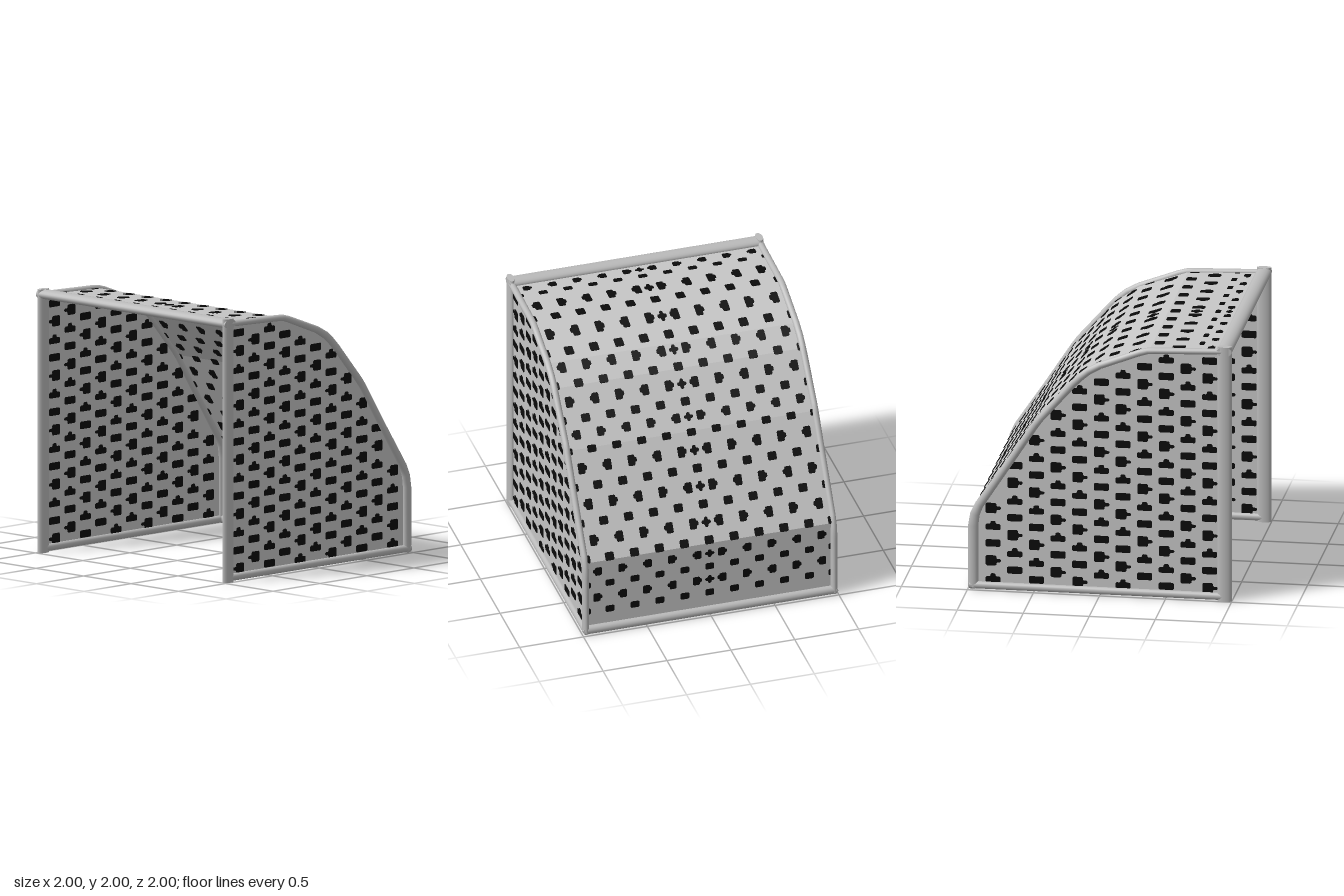
import * as THREE from 'three';
import { mergeGeometries } from 'three/addons/utils/BufferGeometryUtils.js';

// side outline of the net as [z, y], from the rear foot up to the crossbar
const PROFILE = [[-0.96, 0.04], [-0.96, 0.62], [-0.49, 1.33], [-0.17, 1.69], [0, 1.81], [0.37, 1.94], [0.94, 1.96]];
// centre line of the bent side tube as [z, y, radius], with softened bends
const TUBE = [[-0.96, 0.02, 0.039], [-0.96, 0.5, 0.039], [-0.947, 0.59, 0.037], [-0.915, 0.665, 0.034],
  [-0.7, 0.99, 0.03], [-0.49, 1.315, 0.029], [-0.45, 1.37, 0.029], [-0.2, 1.655, 0.029], [-0.15, 1.705, 0.029],
  [-0.09, 1.755, 0.029], [0, 1.806, 0.027], [0.3, 1.92, 0.025], [0.36, 1.938, 0.024], [0.42, 1.943, 0.024], [0.94, 1.96, 0.023]];

export function createModel() {
  const group = new THREE.Group();
  const frameMat = new THREE.MeshStandardMaterial({ color: 0xbababa });
  frameMat.name = 'frame grey';
  const netMat = new THREE.MeshStandardMaterial({ color: 0xc6c6c6, side: THREE.DoubleSide });
  netMat.name = 'net grey';
  const holeMat = new THREE.MeshStandardMaterial({ color: 0x0a0a0a });
  holeMat.name = 'mesh black';

  const add = (name, geo, mat) => {
    const mesh = new THREE.Mesh(geo, mat);
    mesh.name = name;
    group.add(mesh);
    return mesh;
  };

  // straight bar with an oval section; axis is 'x', 'y' or 'z'
  const bar = (name, axis, length, a, b, x, y, z) => {
    const geo = new THREE.CylinderGeometry(1, 1, length, 20).scale(a, 1, b);
    if (axis === 'x') geo.rotateZ(Math.PI / 2);
    if (axis === 'z') geo.rotateX(Math.PI / 2);
    add(name, geo.translate(x, y, z), frameMat);
  };

  // tapering tube swept along TUBE in the plane at x
  const sweep = (x) => {
    const n = 14, pos = [], idx = [];
    TUBE.forEach(([z, y, r], i) => {
      const p = TUBE[Math.max(i - 1, 0)], q = TUBE[Math.min(i + 1, TUBE.length - 1)];
      const t = new THREE.Vector2(q[0] - p[0], q[1] - p[1]).normalize();
      for (let j = 0; j < n; j++) {
        const a = (j / n) * Math.PI * 2, out = r * Math.sin(a);
        pos.push(x + 0.026 * Math.cos(a), y + t.x * out, z - t.y * out);
        if (i) {
          const k = (j + 1) % n, c = i * n, d = c - n;
          idx.push(d + j, c + j, d + k, c + j, c + k, d + k);
        }
      }
    });
    const geo = new THREE.BufferGeometry();
    geo.setAttribute('position', new THREE.Float32BufferAttribute(pos, 3));
    // ring runs +x to outward normal, so the faces are turned to look outwards
    for (let i = 0; i < idx.length; i += 3) [idx[i + 1], idx[i + 2]] = [idx[i + 2], idx[i + 1]];
    geo.setIndex(idx);
    geo.computeVertexNormals();
    return geo;
  };

  // frame
  bar('crossbar', 'x', 1.99, 0.037, 0.058, 0, 1.962, 0.942);
  bar('rearGroundBar', 'x', 1.97, 0.035, 0.035, 0, 0.035, -0.963);
  for (const s of [1, -1]) {
    const side = s > 0 ? 'left' : 'right';
    bar(side + 'FrontPost', 'y', 2, 0.0275, 0.055, s * 0.9725, 1, 0.945);
    bar(side + 'GroundRail', 'z', 1.93, 0.026, 0.028, s * 0.972, 0.034, -0.025);
    add(side + 'BentTube', sweep(s * 0.972), frameMat);
  }

  // side net panels
  const outline = new THREE.Shape([...PROFILE, [0.94, 0.04]].map(([z, y]) => new THREE.Vector2(z, y)));
  for (const s of [1, -1]) {
    add(s > 0 ? 'leftNet' : 'rightNet',
      new THREE.ShapeGeometry(outline).rotateY(-Math.PI / 2).translate(s * 0.968, 0, 0), netMat);
  }

  // back and roof net, one flat strip per profile segment
  const strips = [];
  const segs = [];
  let total = 0;
  for (let i = 1; i < PROFILE.length; i++) {
    const [z0, y0] = PROFILE[i - 1], [z1, y1] = PROFILE[i];
    const len = Math.hypot(z1 - z0, y1 - y0);
    const ty = (y1 - y0) / len, tz = (z1 - z0) / len;
    const basis = new THREE.Matrix4().makeBasis(
      new THREE.Vector3(1, 0, 0), new THREE.Vector3(0, ty, tz), new THREE.Vector3(0, -tz, ty));
    strips.push(new THREE.PlaneGeometry(1.93, len).applyMatrix4(
      basis.clone().setPosition(0, (y0 + y1) / 2, (z0 + z1) / 2)));
    segs.push({ start: total, end: total + len, z0, y0, ty, tz, basis });
    total += len;
  }
  add('backNet', mergeGeometries(strips), netMat);

  // thin plate with clipped corners, seen on both faces of the net
  const plate = (pts, su = 1, sv = 1) => {
    const p = pts.map(([u, v]) => new THREE.Vector2(u * su, v * sv));
    const out = [];
    p.forEach((c, i) => {
      for (const o of [p[(i + p.length - 1) % p.length], p[(i + 1) % p.length]]) {
        const d = o.clone().sub(c), l = d.length();
        out.push(c.clone().addScaledVector(d, Math.min(0.008, l * 0.3) / l));
      }
    });
    return new THREE.ExtrudeGeometry(new THREE.Shape(out), { depth: 0.008, bevelEnabled: false }).translate(0, 0, -0.004);
  };
  const rect = (w, h) => [[-w, -h], [w, -h], [w, h], [-w, h]];
  const block = [[-0.055, -0.04], [0.025, -0.04], [0.025, -0.012], [0.06, -0.012],
    [0.06, 0.012], [0.025, 0.012], [0.025, 0.04], [-0.055, 0.04]];
  const tee = [[-0.057, -0.033], [0.057, -0.033], [0.057, 0.012], [0.02, 0.012],
    [0.02, 0.036], [-0.02, 0.036], [-0.02, 0.012], [-0.057, 0.012]];
  const cross = [[-0.035, -0.012], [-0.013, -0.012], [-0.013, -0.033], [0.013, -0.033], [0.013, -0.012], [0.035, -0.012],
    [0.035, 0.012], [0.013, 0.012], [0.013, 0.033], [-0.013, 0.033], [-0.013, 0.012], [-0.035, 0.012]];

  // staggered openings on the side nets
  const heightAt = (z) => {
    for (let i = 2; i < PROFILE.length; i++) {
      const [z0, y0] = PROFILE[i - 1], [z1, y1] = PROFILE[i];
      if (z <= z1) return y0 + (y1 - y0) * (z - z0) / (z1 - z0);
    }
    return 1.96;
  };
  const sideKinds = [rect(0.057, 0.028), block, tee];
  const sideHoles = [];
  for (let col = 0; col < 11; col++) {
    const z = 0.83 - col * 0.164;
    for (let k = 0; k < 14; k++) {
      const y = 1.88 - (col % 2) * 0.069 - k * 0.1375;
      if (y < 0.07 || y + 0.02 > heightAt(z - 0.05)) continue;
      for (const s of [1, -1]) {
        sideHoles.push(plate(sideKinds[(k + col) % 3]).rotateY(-Math.PI / 2).translate(s * 0.968, y, z));
      }
    }
  }
  add('sideNetOpenings', mergeGeometries(sideHoles), holeMat);

  // staggered openings on the back net, rows given as distance along the profile
  const rows = [0.15, 0.38, 0.606, 0.878, 1.15, 1.423, 1.66, 1.93, 2.21, 2.567, 2.89];
  const backHoles = [];
  const place = (pts, x, s, su, sv) => {
    const g = segs.find((q) => s <= q.end) || segs[segs.length - 1];
    const d = s - g.start;
    backHoles.push(plate(pts, su, sv).applyMatrix4(g.basis.clone().setPosition(x, g.y0 + g.ty * d, g.z0 + g.tz * d)));
  };
  const sideTee = [[-0.033, -0.035], [0.02, -0.035], [0.02, -0.012], [0.036, -0.012],
    [0.036, 0.018], [0.02, 0.018], [0.02, 0.035], [-0.033, 0.035]];
  rows.forEach((s, i) => {
    const next = i + 1 < rows.length ? rows[i + 1] : 3.06;
    const v = Math.min((next - s) / 0.23, 1.45);
    for (let k = -4; k <= 4; k++) place(rect(0.034, 0.027), k * 0.195, s, 1, v);
    for (const e of [1, -1]) place(rect(0.012, 0.025), e * 0.943, s, 1, v);
    const mid = (s + next) / 2;
    place(cross, 0, mid, 1, v);
    for (let k = 0; k < 5; k++) {
      for (const e of [1, -1]) place(sideTee, e * (0.0975 + k * 0.195), mid, (k + i) % 2 ? e : -e, v);
    }
  });
  add('backNetOpenings', mergeGeometries(backHoles), holeMat);
  return group;
}
